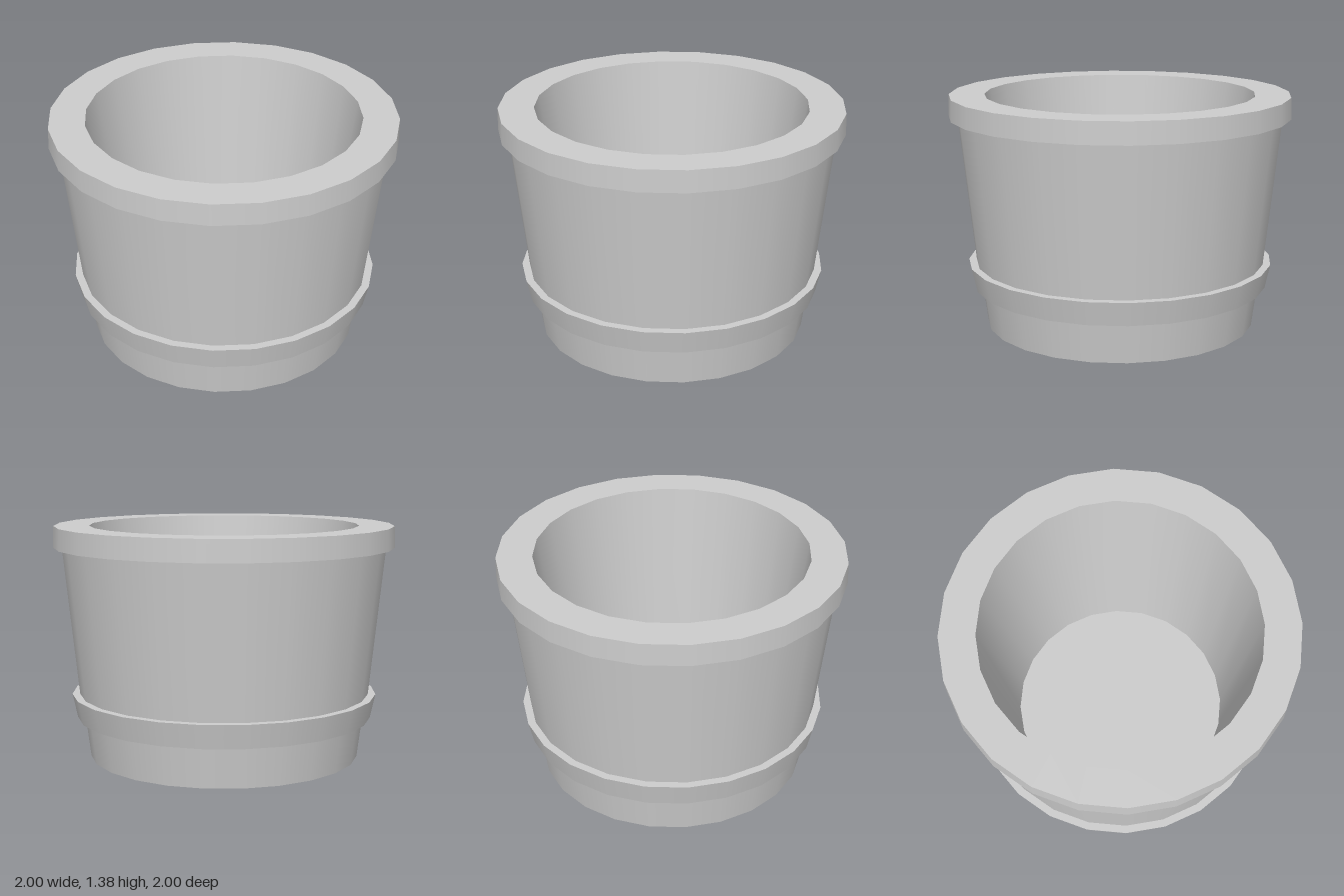
import * as THREE from 'three';
import { mergeGeometries } from 'three/addons/utils/BufferGeometryUtils.js';

const SIDES = 24;

// Revolves each profile segment separately: smooth around, sharp at the edges.
function revolve(profile) {
  const rings = [];
  for (let i = 0; i < profile.length - 1; i++) {
    const pair = [profile[i], profile[i + 1]].map(([r, y]) => new THREE.Vector2(r, y));
    rings.push(new THREE.LatheGeometry(pair, SIDES));
  }
  return mergeGeometries(rings);
}

export function createModel() {
  const grey = new THREE.MeshStandardMaterial({ color: 0xcccccc });
  grey.name = 'plain grey';

  const model = new THREE.Group();
  model.name = 'pot';

  // Profiles run [radius, height], with the outside on the right-hand side.
  const parts = {
    base: [[0, 0], [0.8, 0], [0.83, 0.24]],
    band: [[0.83, 0.24], [0.875, 0.24], [0.905, 0.38], [0.86, 0.38]],
    wall: [[0.86, 0.38], [0.95, 1.25]],
    rim: [[0.95, 1.25], [1, 1.25], [0.996, 1.375], [0.79, 1.375]],
    inside: [[0.79, 1.375], [0.64, 0.125], [0, 0.125]],
  };

  for (const [name, profile] of Object.entries(parts)) {
    const mesh = new THREE.Mesh(revolve(profile), grey);
    mesh.name = name;
    model.add(mesh);
  }
  return model;
}
